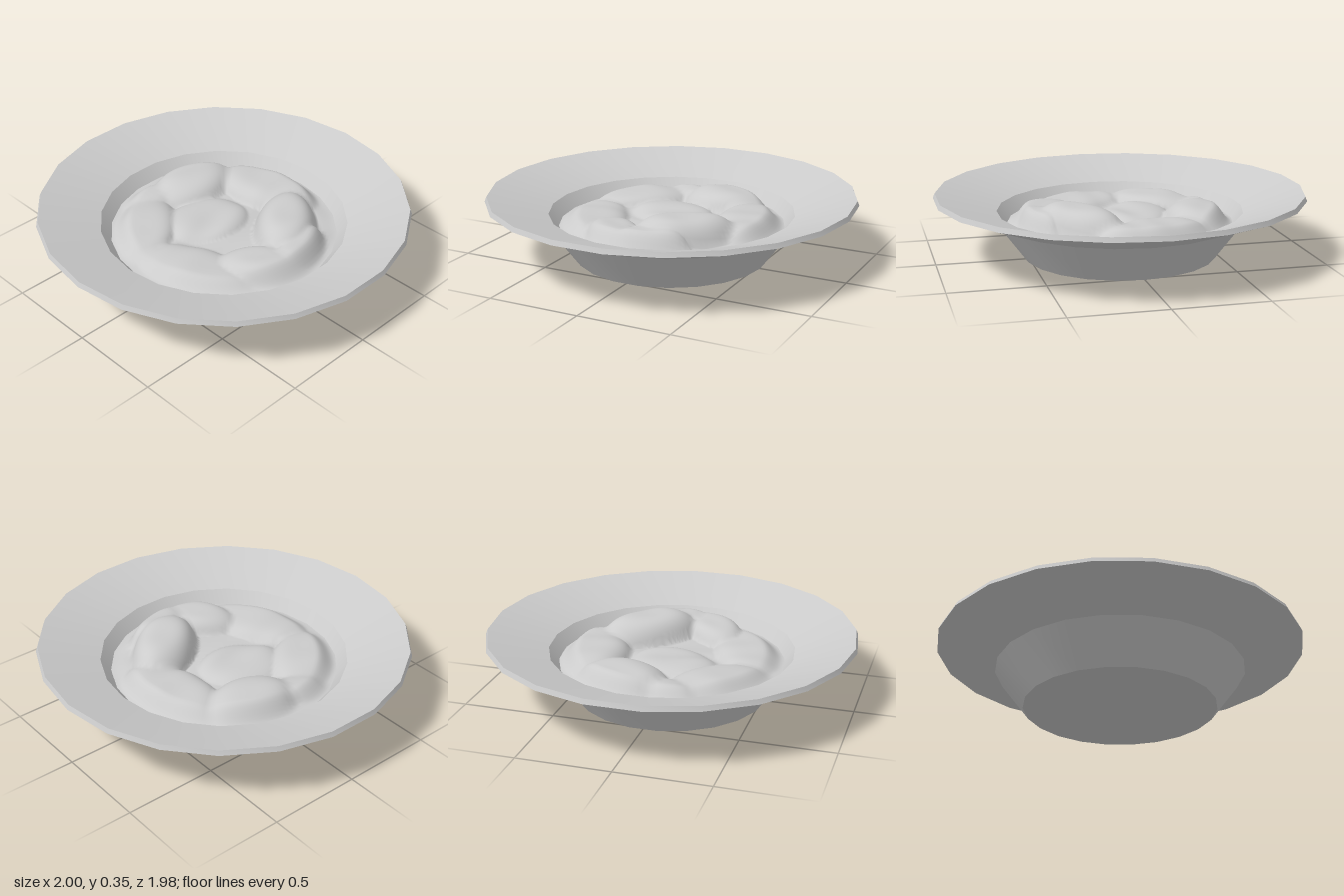
import * as THREE from 'three';
import { toCreasedNormals } from 'three/addons/utils/BufferGeometryUtils.js';

const SIDES = 22;

// Lumps of food: x, z, half-length, half-width, turn, top height
const LUMPS = [
  [0.15, -0.40, 0.26, 0.19, 0.0, 0.285],
  [-0.04, -0.10, 0.24, 0.19, 0.3, 0.235],
  [0.42, -0.08, 0.32, 0.20, 1.4, 0.27],
  [0.20, 0.27, 0.30, 0.17, -0.7, 0.325],
  [0.10, 0.45, 0.22, 0.12, -0.3, 0.295],
  [-0.12, 0.42, 0.26, 0.15, 0.9, 0.28],
  [-0.38, 0.18, 0.32, 0.18, 1.2, 0.24],
  [-0.32, -0.28, 0.30, 0.17, -0.7, 0.255],
  [-0.12, -0.46, 0.16, 0.11, 0.4, 0.25],
];
const EDGE = 0.18;

// Height of the food: overlapping domes with soft folds, sinking at the rim
function foodHeight(x, z) {
  let y = 0.195;
  for (const [cx, cz, a, b, turn, top] of LUMPS) {
    const c = Math.cos(turn), s = Math.sin(turn);
    const u = ((x - cx) * c + (z - cz) * s) / a;
    const v = ((z - cz) * c - (x - cx) * s) / b;
    const d = u * u + v * v;
    if (d < 1) y = Math.max(y, 0.195 + (top - 0.195) * Math.pow(1 - d * d, 0.8));
  }
  y += 0.007 * Math.sin(11 * x + 4 * Math.sin(6 * z)) * Math.cos(9 * z - 3 * x);
  const t = THREE.MathUtils.smoothstep(Math.hypot(x, z), 0.5, 0.615);
  return THREE.MathUtils.lerp(y, EDGE, t);
}

function makeFood() {
  const rings = 44, around = 110, radius = 0.615;
  const positions = [0, foodHeight(0, 0), 0], index = [];
  for (let i = 1; i <= rings; i++) {
    for (let j = 0; j < around; j++) {
      const a = (j / around) * Math.PI * 2, r = (i / rings) * radius;
      const x = r * Math.cos(a), z = r * Math.sin(a);
      positions.push(x, foodHeight(x, z), z);
    }
  }
  const id = (i, j) => 1 + (i - 1) * around + (j % around);
  for (let j = 0; j < around; j++) {
    index.push(0, id(1, j + 1), id(1, j));
    for (let i = 1; i < rings; i++) {
      index.push(id(i, j), id(i, j + 1), id(i + 1, j));
      index.push(id(i, j + 1), id(i + 1, j + 1), id(i + 1, j));
    }
  }
  const geometry = new THREE.BufferGeometry();
  geometry.setAttribute('position', new THREE.Float32BufferAttribute(positions, 3));
  geometry.setIndex(index);
  geometry.computeVertexNormals();
  return geometry;
}

export function createModel() {
  const group = new THREE.Group();
  group.name = 'bowlOfFood';
  const grey = new THREE.MeshStandardMaterial({ color: 0xcccccc });

  // Bowl: flat foot, sloping side, wide rim, thin lip, inner well
  const profile = [
    [0, 0], [0.523, 0], [0.68, 0.21], [1, 0.33], [0.99, 0.355],
    [0.665, 0.25], [0.52, 0.06], [0, 0.06],
  ].map(([r, y]) => new THREE.Vector2(r, y));
  const lathe = new THREE.LatheGeometry(profile, SIDES, Math.PI / 2);
  const bowl = new THREE.Mesh(toCreasedNormals(lathe, 0.4), grey);
  bowl.name = 'bowl';
  group.add(bowl);

  // Lumpy filling
  const food = new THREE.Mesh(makeFood(), grey.clone());
  food.material.side = THREE.DoubleSide;
  food.name = 'food';
  group.add(food);

  return group;
}
